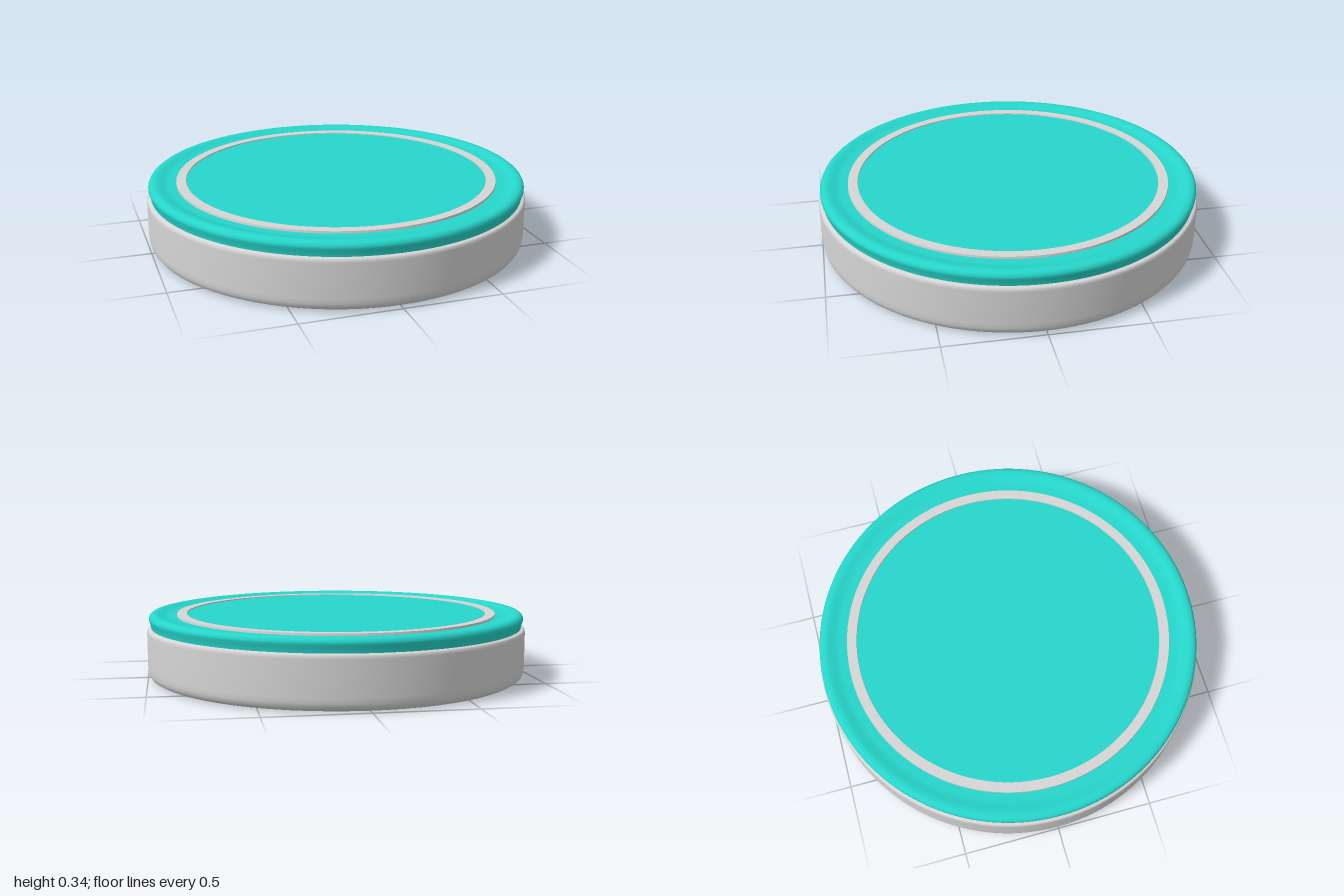
import * as THREE from 'three';

const material = (name, color) => {
  const m = new THREE.MeshStandardMaterial({ color });
  m.name = name;
  return m;
};

export function createModel() {
  const teal = material('teal', 0x26d6cb);
  const grey = material('lightGrey', 0xd6d6d6);
  const black = material('black', 0x1f282a);
  const group = new THREE.Group();
  group.name = 'roundPuck';

  // Each part is a surface of revolution. Profiles run along the underside
  // outwards, up the side, then inwards over the top.
  const turn = (name, mat, points, segments = 128) => {
    const profile = points.map(([r, y]) => new THREE.Vector2(r, y));
    const mesh = new THREE.Mesh(new THREE.LatheGeometry(profile, segments), mat);
    mesh.name = name;
    group.add(mesh);
  };

  // Grey side wall with rounded lower edge and a small lip
  turn('sideWall', grey, [
    [0.95, 0.002], [0.968, 0.005], [0.984, 0.014], [0.994, 0.028], [0.998, 0.045], [1, 0.07],
    [1, 0.245], [0.998, 0.258], [0.992, 0.265], [0.975, 0.268],
  ]);

  // Teal upper rim: undercut side, rounded shoulder, shallow dip inside
  turn('upperRim', teal, [
    [0.978, 0.262], [0.979, 0.275], [0.984, 0.295], [0.989, 0.308], [0.989, 0.318],
    [0.984, 0.329], [0.974, 0.337], [0.958, 0.34], [0.942, 0.339], [0.925, 0.334],
    [0.905, 0.328], [0.885, 0.325], [0.835, 0.325],
  ]);

  // Raised grey ring around the top panel
  turn('topRingOuterEdge', grey, [[0.845, 0.322], [0.843, 0.336]]);
  turn('topRing', grey, [[0.843, 0.336], [0.793, 0.336]]);
  turn('topRingInnerEdge', grey, [[0.793, 0.336], [0.791, 0.326]]);
  turn('topPanel', teal, [[0.795, 0.33], [0, 0.33]]);

  // Underside: teal rim, grey ring and panel with an opening for the socket
  turn('lowerRim', teal, [
    [0.835, 0.014], [0.87, 0.014], [0.895, 0.011], [0.92, 0.005], [0.94, 0.002], [0.953, 0.002],
  ]);
  turn('bottomRingInnerEdge', grey, [[0.791, 0.014], [0.793, 0.006]]);
  turn('bottomRing', grey, [[0.793, 0.006], [0.843, 0.006]]);
  turn('bottomRingOuterEdge', grey, [[0.843, 0.006], [0.845, 0.016]]);
  turn('bottomPanel', teal, [[0.3, 0.01], [0.795, 0.01]]);

  // Black socket: rounded collar and shallow concave bowl
  turn('socketCollar', black, [
    [0.268, 0.012], [0.274, 0.004], [0.285, 0.001], [0.306, 0.001], [0.317, 0.004], [0.322, 0.012],
  ], 96);
  const bowl = [];
  for (let i = 0; i <= 10; i++) {
    const r = 0.27 * i / 10;
    bowl.push([r, 0.01 + 0.06 * (1 - (r / 0.27) ** 2)]);
  }
  turn('socketBowl', black, bowl, 96);

  return group;
}
